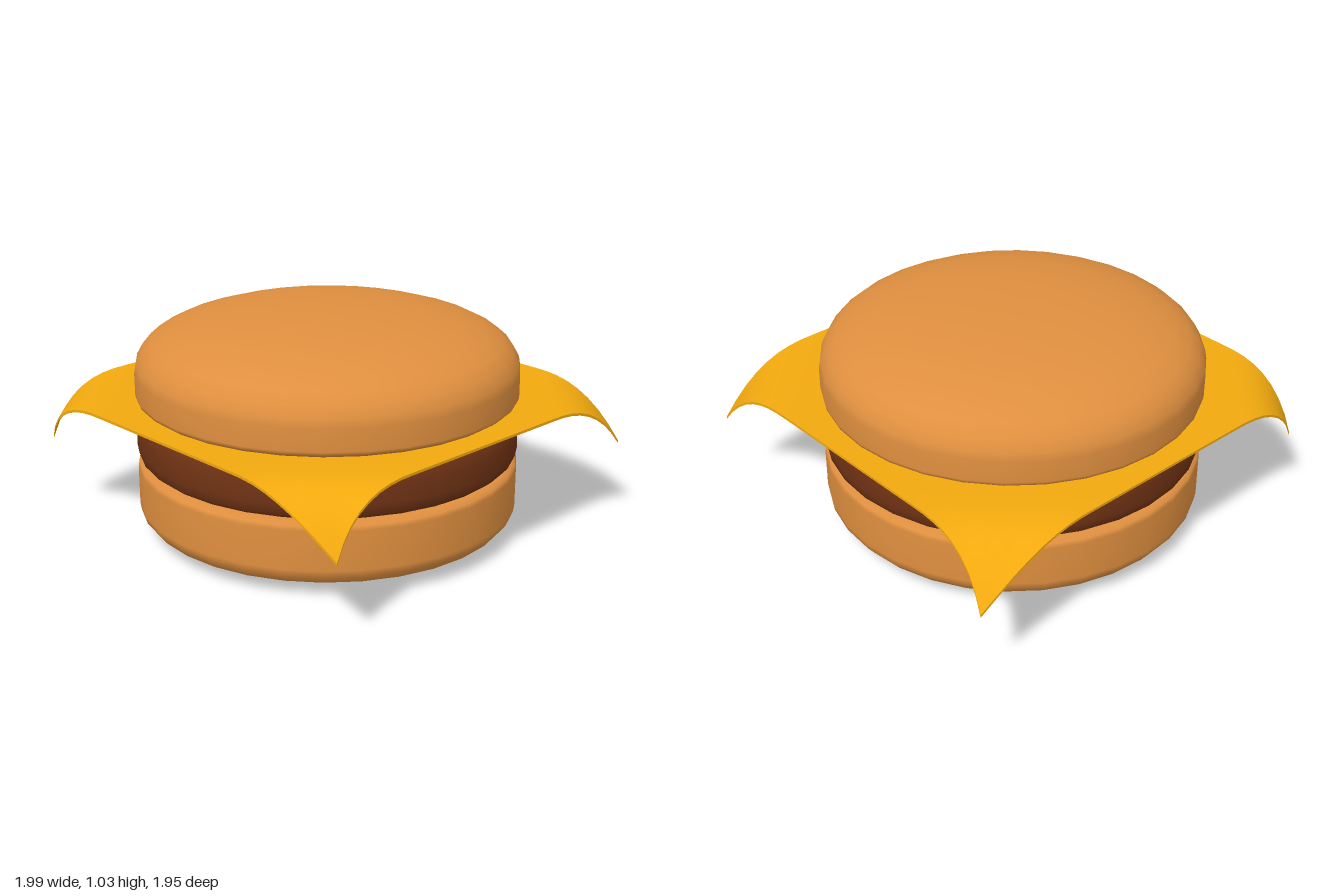
import * as THREE from 'three';

const CX = -0.037, CZ = -0.017; // shared axis of the stack

// Smooth round layer from a profile of [radius, height], bottom to top
function layer(name, color, profile) {
  const points = profile.map(([r, y]) => new THREE.Vector2(r, y));
  const mesh = new THREE.Mesh(
    new THREE.LatheGeometry(points, 32),
    new THREE.MeshStandardMaterial({ color })
  );
  mesh.name = name;
  mesh.position.set(CX, 0, CZ);
  return mesh;
}

// Thin square slice whose four corners droop, each pulled slightly differently
function cheeseSlice() {
  const half = 0.962, thick = 0.012;
  const geo = new THREE.BoxGeometry(half * 2, thick, half * 2, 30, 1, 30);
  const pull = { '-1,1': [0.07, 0.025], '1,1': [0, -0.01], '1,-1': [0.065, 0.03], '-1,-1': [0.07, 0.03] };
  const pos = geo.attributes.position;
  for (let i = 0; i < pos.count; i++) {
    const x = pos.getX(i), z = pos.getZ(i);
    const t = Math.max(0, (Math.abs(x) + Math.abs(z) - 1.42) / (2 * half - 1.42));
    const [dx, dz] = pull[`${x < 0 ? -1 : 1},${z < 0 ? -1 : 1}`];
    const k = t ** 3;
    pos.setXYZ(i, x + dx * k, pos.getY(i) - 0.24 * t ** 2.4, z + dz * k);
  }
  geo.computeVertexNormals();
  const mesh = new THREE.Mesh(geo, new THREE.MeshStandardMaterial({ color: 0xf2a90e }));
  mesh.name = 'cheeseSlice';
  mesh.position.set(CX, 0.629, CZ);
  return mesh;
}

export function createModel() {
  const burger = new THREE.Group();
  burger.name = 'burger';
  const bun = 0xdf8f3f;

  burger.add(
    layer('bottomBun', bun, [
      [0, 0], [0.4, 0.006], [0.66, 0.02], [0.78, 0.04], [0.845, 0.072], [0.875, 0.11],
      [0.88, 0.14], [0.88, 0.32], [0.873, 0.34], [0.85, 0.352], [0.8, 0.355], [0, 0.356],
    ]),
    layer('patty', 0x6f3214, [
      [0, 0.36], [0.8, 0.36], [0.85, 0.366], [0.872, 0.385], [0.88, 0.43],
      [0.878, 0.5], [0.87, 0.55], [0.85, 0.578], [0.81, 0.588], [0, 0.59],
    ]),
    cheeseSlice(),
    layer('topBun', bun, [
      [0, 0.638], [0.8, 0.639], [0.86, 0.643], [0.877, 0.655], [0.88, 0.67], [0.88, 0.77],
      [0.873, 0.81], [0.845, 0.86], [0.8, 0.9], [0.73, 0.937], [0.62, 0.973],
      [0.48, 1.002], [0.3, 1.021], [0.15, 1.028], [0, 1.03],
    ])
  );
  return burger;
}
